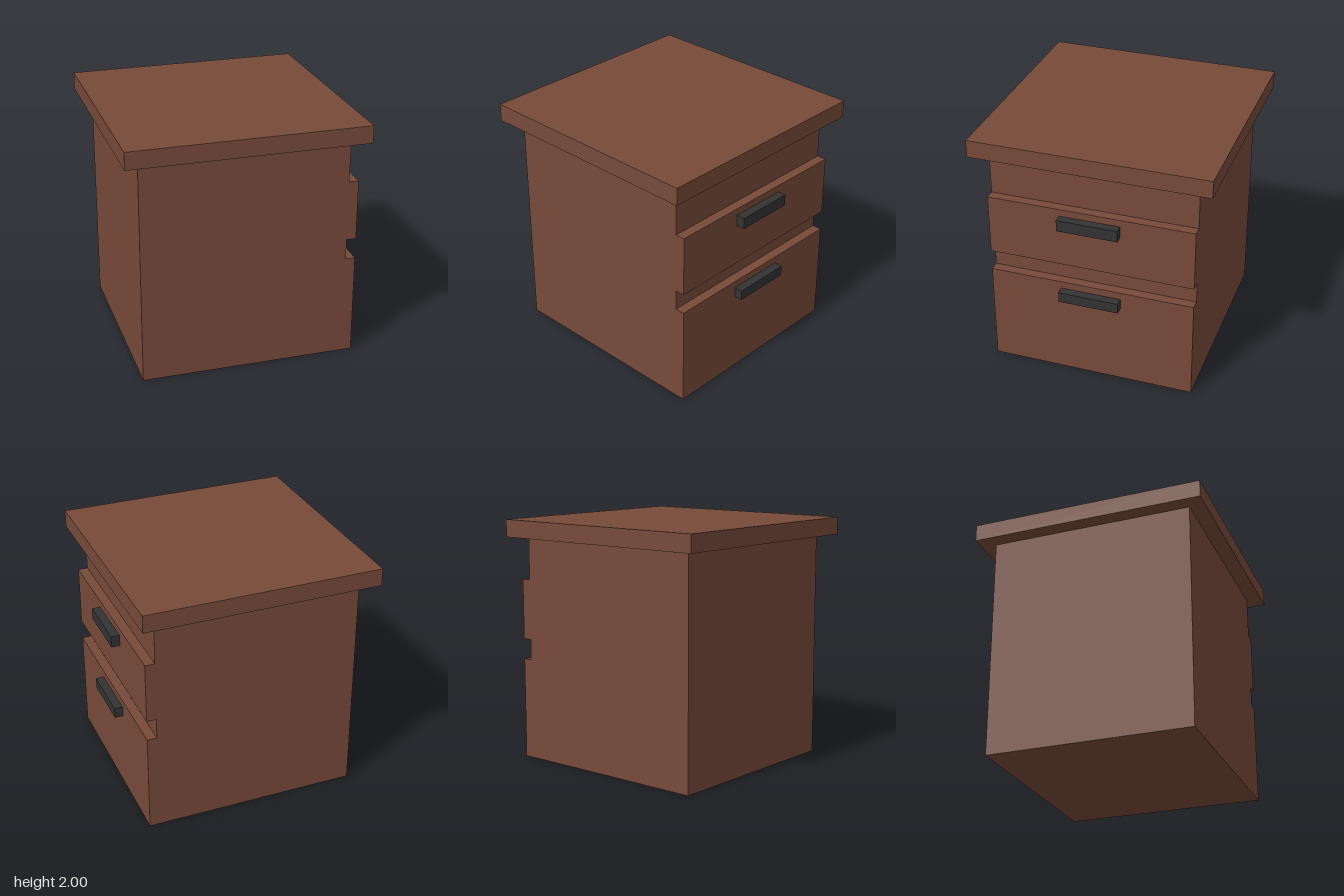
import * as THREE from 'three';

export function createModel() {
  const model = new THREE.Group();
  model.name = 'drawerCabinet';

  const wood = new THREE.MeshStandardMaterial({ color: 0x774a3a });
  wood.name = 'brown wood';
  const metal = new THREE.MeshStandardMaterial({ color: 0x333333 });
  metal.name = 'dark metal';

  // Box given by its lower and upper corners
  function addBox(name, material, [x0, y0, z0], [x1, y1, z1]) {
    const mesh = new THREE.Mesh(new THREE.BoxGeometry(x1 - x0, y1 - y0, z1 - z0), material);
    mesh.position.set((x0 + x1) / 2, (y0 + y1) / 2, (z0 + z1) / 2);
    mesh.name = name;
    model.add(mesh);
  }

  const back = -0.856, recess = 0.827, face = 0.906, halfDepth = 0.84, topBase = 1.857;
  const drawers = [
    { name: 'lower', bottom: 0, top: 0.835, grip: [0.69, 0.776] },
    { name: 'upper', bottom: 1.005, top: 1.503, grip: [1.35, 1.445] },
  ];

  // Cabinet body: side profile whose steps form the raised drawer fronts
  const profile = [new THREE.Vector2(back, 0)];
  for (const { bottom, top } of drawers) {
    if (bottom > 0) profile.push(new THREE.Vector2(recess, bottom));
    profile.push(
      new THREE.Vector2(face, bottom),
      new THREE.Vector2(face, top),
      new THREE.Vector2(recess, top)
    );
  }
  profile.push(new THREE.Vector2(recess, topBase), new THREE.Vector2(back, topBase));
  const bodyGeometry = new THREE.ExtrudeGeometry(new THREE.Shape(profile), {
    depth: halfDepth * 2,
    bevelEnabled: false,
  });
  bodyGeometry.translate(0, 0, -halfDepth);
  const body = new THREE.Mesh(bodyGeometry, wood);
  body.name = 'cabinetBodyWithDrawerFronts';
  model.add(body);

  // Overhanging top slab
  addBox('topSlab', wood, [-0.98, topBase, -0.967], [0.954, 2, 0.967]);

  // Bar handles
  for (const { name, grip } of drawers) {
    addBox(`${name}DrawerHandle`, metal, [face, grip[0], -0.247], [0.975, grip[1], 0.247]);
  }

  return model;
}
